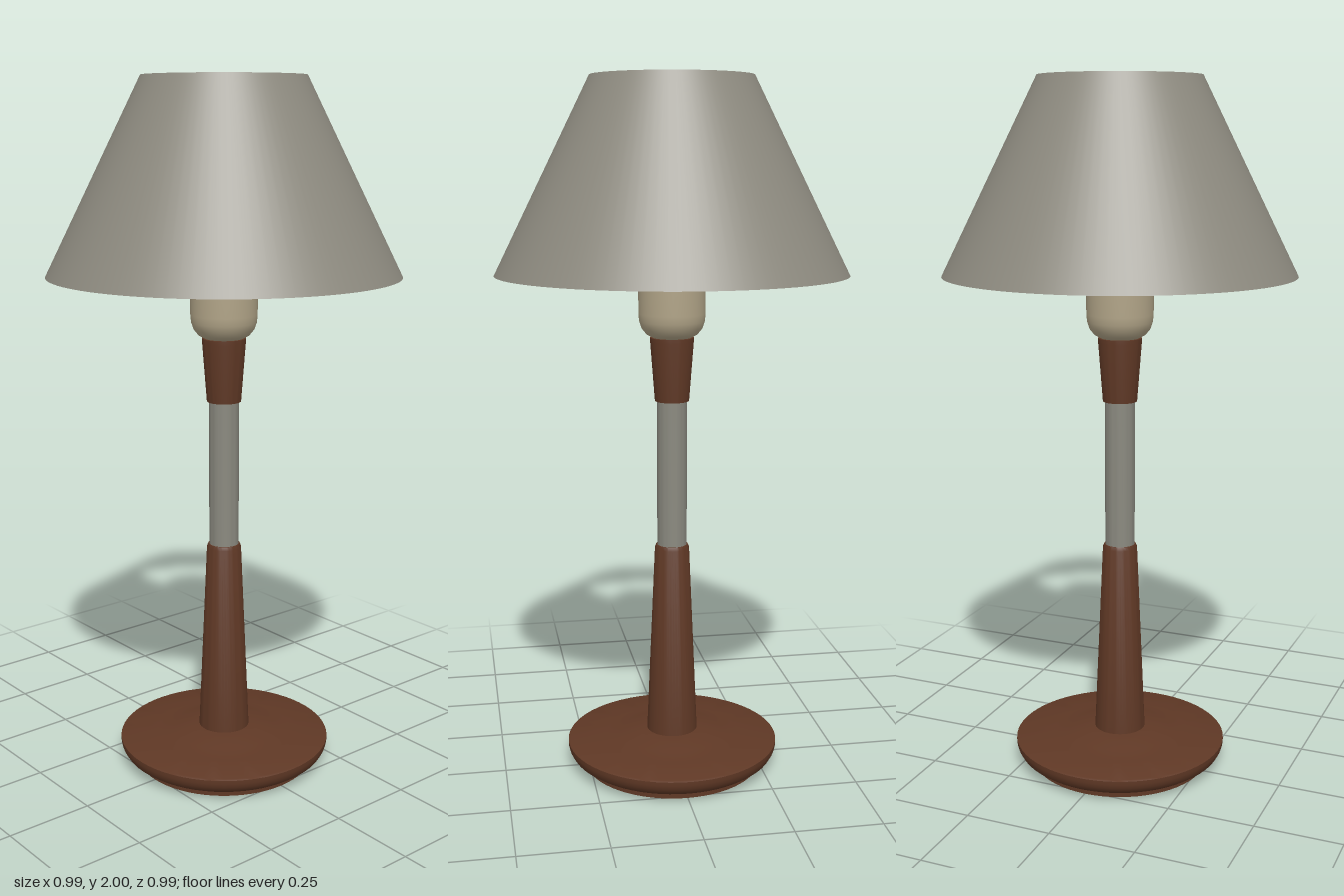
import * as THREE from 'three';
import { toCreasedNormals } from 'three/addons/utils/BufferGeometryUtils.js';

const material = (name, color, side = THREE.FrontSide) => {
  const m = new THREE.MeshStandardMaterial({ color, side });
  m.name = name;
  return m;
};

export function createModel() {
  const lamp = new THREE.Group();
  lamp.name = 'tableLamp';

  const wood = material('brown wood', 0x5f3825);
  const fabric = material('grey fabric', 0x8e8b80, THREE.DoubleSide);
  const metal = material('grey metal', 0x8a897f);
  const ceramic = material('cream socket', 0xb3a689);
  const glass = material('white glass', 0xf4f4f4);
  const dark = material('dark bulb neck', 0x48484a);

  // Every part is turned about the vertical axis; profiles run bottom to top
  const turn = (name, profile, mat, segments = 64) => {
    const points = profile.map(([r, y]) => new THREE.Vector2(r, y));
    const geometry = toCreasedNormals(new THREE.LatheGeometry(points, segments), 0.6);
    const mesh = new THREE.Mesh(geometry, mat);
    mesh.name = name;
    lamp.add(mesh);
  };

  // Foot: recessed plinth, rounded rim, gently domed top
  turn('base', [
    [0, 0], [0.262, 0], [0.262, 0.022], [0.285, 0.025], [0.3, 0.036],
    [0.308, 0.05], [0.311, 0.062], [0.311, 0.073], [0.305, 0.076],
    [0.2, 0.079], [0.15, 0.089], [0.105, 0.1], [0.07, 0.104], [0, 0.104],
  ], wood);

  // Stem: tapered wood, metal tube, flared wooden collar
  turn('lowerStem', [[0, 0.09], [0.075, 0.09], [0.05, 0.665], [0.046, 0.675], [0, 0.675]], wood, 48);
  turn('tube', [[0, 0.66], [0.043, 0.66], [0.043, 1.11], [0, 1.11]], metal, 48);
  turn('collar', [[0, 1.1], [0.049, 1.1], [0.062, 1.27], [0.062, 1.282], [0, 1.282]], wood, 48);

  // Socket with rounded bottom and two raised rings
  turn('socket', [
    [0, 1.28], [0.055, 1.282], [0.073, 1.292], [0.086, 1.308], [0.093, 1.328],
    [0.095, 1.35], [0.095, 1.56], [0, 1.56],
  ], ceramic, 48);
  for (const y of [1.48, 1.52]) {
    const ring = new THREE.Mesh(new THREE.TorusGeometry(0.093, 0.008, 10, 48), ceramic);
    ring.name = 'socketRing';
    ring.rotation.x = Math.PI / 2;
    ring.position.y = y;
    lamp.add(ring);
  }

  // Bulb: dark flared neck under a white globe
  turn('bulbNeck', [[0, 1.55], [0.076, 1.55], [0.08, 1.575], [0.098, 1.615], [0.124, 1.66], [0, 1.66]], dark, 48);
  const bulb = new THREE.Mesh(
    new THREE.SphereGeometry(0.13, 48, 24, 0, Math.PI * 2, 0, Math.PI * 0.6), glass);
  bulb.name = 'bulb';
  bulb.position.y = 1.7;
  lamp.add(bulb);

  // Thin conical shade, open at both ends
  turn('shade', [[0.487, 1.46], [0.496, 1.46], [0.226, 2], [0.218, 2], [0.487, 1.46]], fabric, 96);

  return lamp;
}
